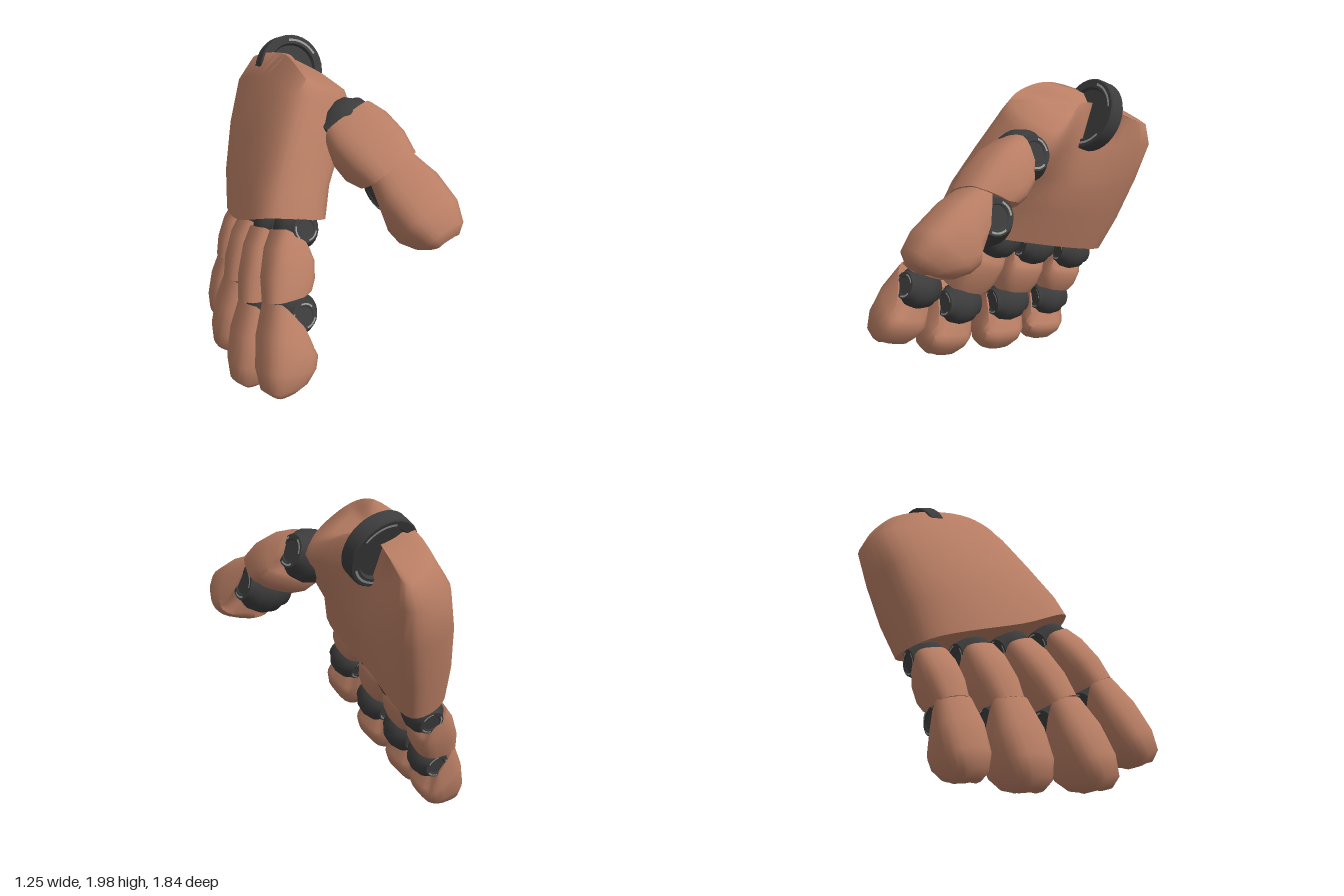
import * as THREE from 'three';
import { toCreasedNormals } from 'three/addons/utils/BufferGeometryUtils.js';

const V = (p) => new THREE.Vector3(...p);

export function createModel() {
  const shell = new THREE.MeshStandardMaterial({ color: 0xb97e64 });
  shell.name = 'clay shell';
  const dark = new THREE.MeshStandardMaterial({ color: 0x3c3c3c });
  dark.name = 'dark joint';
  const grey = new THREE.MeshStandardMaterial({ color: 0x979b98 });
  grey.name = 'grey trim';

  const root = new THREE.Group();
  root.name = 'mechanicalHand';

  function add(parent, name, geometry, material) {
    const mesh = new THREE.Mesh(geometry, material);
    mesh.name = name;
    parent.add(mesh);
    return mesh;
  }

  // Skin a row of closed cross-sections and close both ends
  const centre = (ring) => ring.reduce((s, p) => s.add(p), new THREE.Vector3()).divideScalar(ring.length);
  function loft(rings, crease) {
    const pos = [];
    const tri = (...pts) => pts.forEach((p) => pos.push(p.x, p.y, p.z));
    const n = rings[0].length;
    const first = rings[0], last = rings[rings.length - 1];
    const c0 = centre(first), c1 = centre(last);
    for (let j = 0; j < n; j++) {
      const k = (j + 1) % n;
      for (let i = 0; i < rings.length - 1; i++) {
        const a = rings[i], b = rings[i + 1];
        tri(a[j], b[j], a[k]);
        tri(a[k], b[j], b[k]);
      }
      tri(c0, first[j], first[k]);
      tri(c1, last[k], last[j]);
    }
    const g = new THREE.BufferGeometry();
    g.setAttribute('position', new THREE.Float32BufferAttribute(pos, 3));
    return toCreasedNormals(g, crease);
  }

  // Palm: sections from the knuckles up to the wrist, each running
  // index-back, mid-back, little-back, little-inner, mid-inner, index-inner
  const sections = [
    [[-0.32, 1.25, 0.29], [-0.38, 1.05, -0.1], [-0.19, 0.87, -0.62], [0.1, 0.84, -0.67], [0.06, 0.96, -0.2], [0, 1.17, 0.33]],
    [[-0.27, 1.38, 0.25], [-0.32, 1.25, -0.17], [-0.16, 1.1, -0.69], [0.17, 1.06, -0.75], [0.15, 1.2, -0.25], [0.06, 1.33, 0.26]],
    [[-0.13, 1.62, 0.16], [-0.21, 1.5, -0.25], [-0.08, 1.38, -0.78], [0.25, 1.34, -0.82], [0.23, 1.42, -0.32], [0.25, 1.52, 0.1]],
    [[0, 1.84, 0.07], [-0.05, 1.84, -0.3], [0.02, 1.62, -0.85], [0.3, 1.57, -0.87], [0.21, 1.62, -0.42], [0.36, 1.68, 0]],
    [[0.06, 1.91, 0.04], [0.04, 1.99, -0.22], [0.08, 1.79, -0.76], [0.3, 1.7, -0.83], [0.2, 1.84, -0.47], [0.35, 1.77, -0.06]],
  ];
  const palmRings = sections.map((s) =>
    new THREE.CatmullRomCurve3(s.map(V), true).getPoints(42).slice(0, 42));
  // Rounded crown over the wrist
  const rim = palmRings[palmRings.length - 1];
  const crown = centre(rim).add(V([0.01, 0.05, 0]));
  palmRings.push(rim.map((p) => p.clone().lerp(crown, 0.4).add(V([0.005, 0.012, 0]))));
  add(root, 'palm', loft(palmRings, 1.3), shell);

  // Finger shell: rows are [along, half width, back depth, inner depth, slant]
  const linkRows = [
    [0.15, 0.12, 0.15, 0.07, -0.07],
    [0.3, 0.135, 0.19, 0.09, -0.03],
    [0.58, 0.135, 0.21, 0.1, 0],
    [0.8, 0.115, 0.2, 0.09, 0.04],
  ];
  const tipRows = [
    [0.14, 0.135, 0.18, 0.11, -0.13],
    [0.4, 0.165, 0.205, 0.13, -0.05],
    [0.7, 0.158, 0.2, 0.125, 0.01],
    [0.92, 0.115, 0.17, 0.095, 0.03],
    [1, 0.07, 0.11, 0.05, 0.03],
  ];
  function frame(a, b, back) {
    const along = b.clone().sub(a);
    const axis = along.clone().normalize();
    const up = back.clone().addScaledVector(axis, -back.dot(axis)).normalize();
    return { along, axis, up, side: axis.clone().cross(up) };
  }
  const soft = (v) => Math.sign(v) * Math.abs(v) ** 0.66;
  function segment(a, b, back, rows, k, wide, deep) {
    const { along, axis, up, side } = frame(a, b, back);
    return loft(rows.map(([t, w, d, p, slant]) => {
      const ring = [];
      for (let j = 0; j < 24; j++) {
        const q = (j / 24) * Math.PI * 2;
        const c = soft(Math.cos(q)), s = soft(Math.sin(q));
        ring.push(a.clone().addScaledVector(along, t)
          .addScaledVector(side, c * w * k * wide)
          .addScaledVector(up, s * (s > 0 ? d : p) * k * deep)
          .addScaledVector(axis, THREE.MathUtils.clamp(s * 1.3, -1, 1) * slant * k));
      }
      return ring;
    }), 0.9);
  }

  // Short worn arcs of trim on both faces of a disc or barrel
  function trim(parent, name, inner, outer, height) {
    for (const s of [-1, 1]) {
      for (const start of [0.4, 2.5, 4.6]) {
        const arc = add(parent, name, new THREE.RingGeometry(inner, outer, 12, 1, start, 1.1), grey);
        arc.position.y = s * height;
        arc.rotation.x = -s * Math.PI / 2;
      }
    }
  }

  // Hinge barrel with stepped caps
  const barrelProfile = [[0, -0.12], [0.055, -0.12], [0.06, -0.125], [0.085, -0.125], [0.095, -0.1],
    [0.125, -0.065], [0.138, 0], [0.125, 0.065], [0.095, 0.1], [0.085, 0.125], [0.06, 0.125],
    [0.055, 0.12], [0, 0.12]].map((p) => new THREE.Vector2(...p));
  const barrel = toCreasedNormals(new THREE.LatheGeometry(barrelProfile, 24), 0.6);
  function joint(parent, name, at, hinge, k) {
    const g = new THREE.Group();
    g.name = name;
    g.position.copy(at);
    g.quaternion.setFromUnitVectors(new THREE.Vector3(0, 1, 0), hinge);
    g.scale.setScalar(k);
    add(g, 'barrel', barrel, dark);
    trim(g, 'jointTrim', 0.066, 0.076, 0.127);
    parent.add(g);
  }

  // Digits: knuckle, middle joint, tip, direction of the back,
  // link size, tip size, link width factor, depth factor
  const digits = [
    ['indexFinger', [-0.16, 1.12, 0.27], [-0.3, 0.71, 0.5], [-0.43, 0.31, 0.69], [-1, 0, 0.12], 0.95, 1, 1.05, 1],
    ['middleFinger', [-0.15, 0.98, -0.02], [-0.32, 0.5, 0.19], [-0.46, 0.09, 0.31], [-1, 0, 0.05], 0.97, 1.03, 1.08, 1],
    ['ringFinger', [-0.12, 0.88, -0.28], [-0.27, 0.44, -0.17], [-0.4, 0.03, -0.12], [-1, 0, -0.05], 0.95, 1.02, 1.08, 1],
    ['littleFinger', [-0.07, 0.79, -0.56], [-0.2, 0.41, -0.48], [-0.31, 0.05, -0.44], [-1, 0, -0.15], 0.9, 0.92, 1.05, 1],
    ['thumb', [0.26, 1.63, 0.12], [0.39, 1.38, 0.46], [0.46, 1.17, 0.85], [-0.2, 0.65, 0.7], 1.17, 1.2, 1.35, 0.88],
  ];
  for (const [name, p0, p1, p2, backDir, kLink, kTip, wide, deep] of digits) {
    const g = new THREE.Group();
    g.name = name;
    const a = V(p0), b = V(p1), c = V(p2), back = V(backDir);
    joint(g, 'knuckle', a, frame(a, b, back).side, kLink);
    add(g, 'fingerLink', segment(a, b, back, linkRows, kLink, wide, deep), shell);
    joint(g, 'middleJoint', b, frame(b, c, back).side, kTip);
    add(g, 'fingerTip', segment(b, c, back, tipRows, kTip, 1, deep), shell);
    root.add(g);
  }

  // Wrist disc with recessed faces
  const discProfile = [[0, -0.03], [0.15, -0.03], [0.16, -0.05], [0.205, -0.05], [0.213, -0.042],
    [0.213, 0.042], [0.205, 0.05], [0.16, 0.05], [0.15, 0.03], [0, 0.03]].map((p) => new THREE.Vector2(...p));
  const wrist = new THREE.Group();
  wrist.name = 'wrist';
  wrist.position.set(0.19, 1.785, -0.47);
  wrist.quaternion.setFromUnitVectors(new THREE.Vector3(0, 1, 0), new THREE.Vector3(0, 0.39, 0.92).normalize());
  add(wrist, 'wristDisc', toCreasedNormals(new THREE.LatheGeometry(discProfile, 32), 0.5), dark);
  trim(wrist, 'wristTrim', 0.175, 0.188, 0.052);
  root.add(wrist);

  return root;
}
